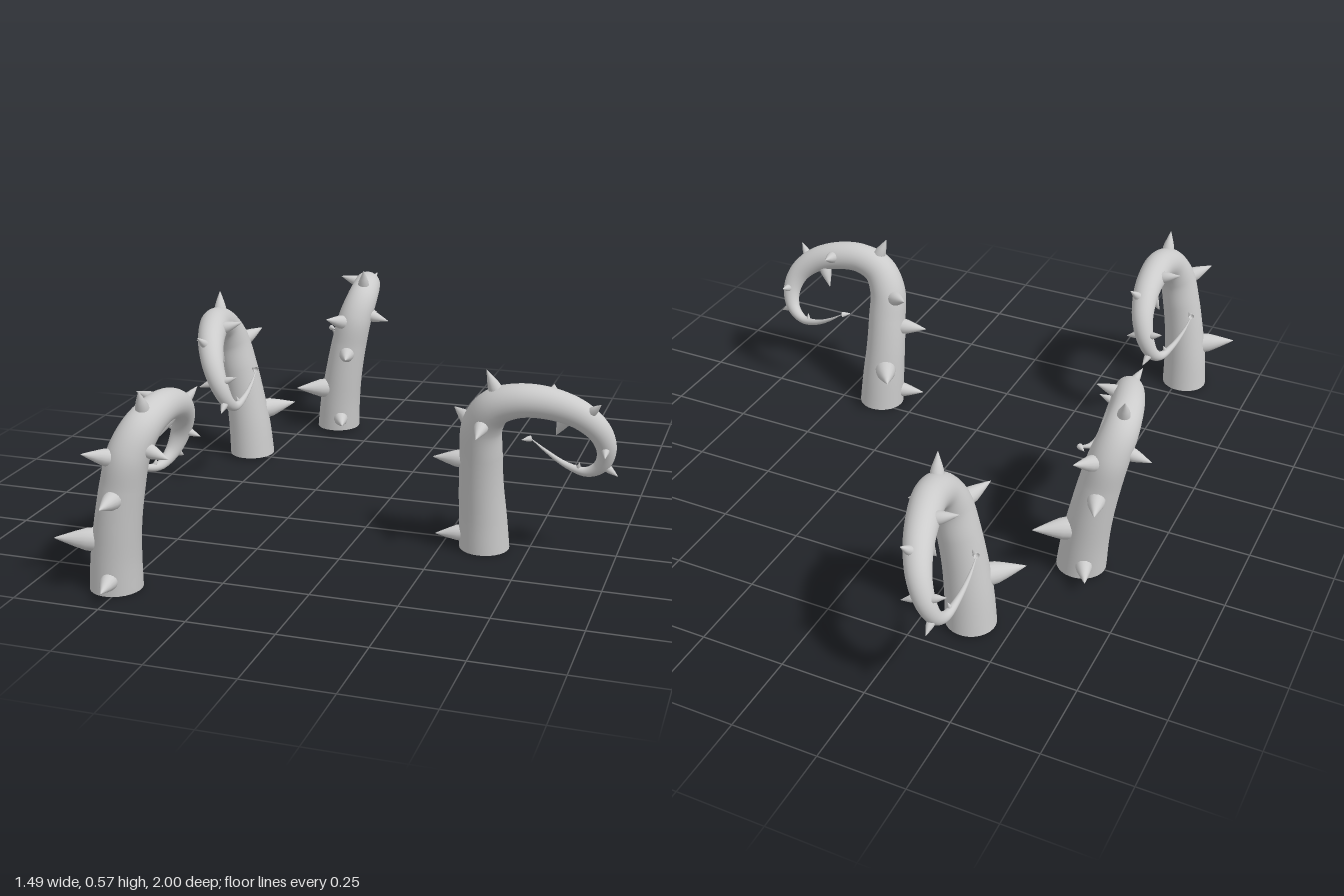
import * as THREE from 'three';

// Centre line of one tentacle: x (curl direction), y, z (sideways lean), radius
const PATH = [
  [0, 0, 0, 0.073], [-0.004, 0.1, 0.008, 0.069], [-0.007, 0.2, 0.022, 0.064],
  [-0.005, 0.3, 0.04, 0.061], [0.002, 0.39, 0.06, 0.058], [0.04, 0.45, 0.077, 0.053],
  [0.108, 0.476, 0.08, 0.048], [0.19, 0.473, 0.07, 0.045], [0.27, 0.445, 0.055, 0.04],
  [0.325, 0.395, 0.035, 0.034], [0.344, 0.335, 0.012, 0.028], [0.328, 0.28, -0.008, 0.021],
  [0.285, 0.252, -0.022, 0.014], [0.225, 0.262, -0.035, 0.009], [0.165, 0.293, -0.046, 0.005],
  [0.118, 0.325, -0.05, 0.001],
];

// Spike tips; each spike grows outward from the nearest point of the centre line
const SPIKE_TIPS = [
  [-0.137, 0.04, 0.04], [-0.142, 0.28, 0.055], [-0.09, 0.155, -0.13], [-0.1, 0.41, -0.02],
  [0.012, 0.385, 0.178], [0.018, 0.56, 0.09], [0.095, 0.325, -0.03], [0.335, 0.485, 0.08],
  [0.35, 0.33, 0.075], [0.378, 0.255, 0], [0.185, 0.5, -0.025], [0.345, 0.365, -0.045],
  [0.205, 0.37, 0.03], [0.265, 0.28, -0.02],
];

const SEGMENTS = 96, SIDES = 28;
const skin = new THREE.MeshStandardMaterial({ color: 0xcccccc, side: THREE.DoubleSide });

const curve = new THREE.CatmullRomCurve3(PATH.map(([x, y, z]) => new THREE.Vector3(x, y, z)));
const radiusCurve = new THREE.CatmullRomCurve3(PATH.map((p, i) => new THREE.Vector3(i, p[3], 0)));
const radiusAt = (u) => Math.max(0.0005, radiusCurve.getPoint(curve.getUtoTmapping(u)).y);

// Tube whose rings shrink along the length
function taperedTube() {
  const geometry = new THREE.TubeGeometry(curve, SEGMENTS, 1, SIDES, false);
  const pos = geometry.attributes.position;
  const v = new THREE.Vector3();
  for (let i = 0; i <= SEGMENTS; i++) {
    const centre = curve.getPointAt(i / SEGMENTS);
    const r = radiusAt(i / SEGMENTS);
    for (let j = 0; j <= SIDES; j++) {
      const k = i * (SIDES + 1) + j;
      v.fromBufferAttribute(pos, k).sub(centre).multiplyScalar(r).add(centre);
      if (i === 0) v.y = 0; // flat foot
      pos.setXYZ(k, v.x, v.y, v.z);
    }
  }
  return geometry;
}

// Unit spike with slightly bulging sides
const spikeGeometry = new THREE.LatheGeometry(
  [[0.3, 0], [0.27, 0.25], [0.19, 0.5], [0.1, 0.75], [0.03, 0.94], [0, 1]]
    .map(([x, y]) => new THREE.Vector2(x, y)), 16);

function makeSpike(tipArray) {
  const tip = new THREE.Vector3(...tipArray);
  let best = 0, bestDist = Infinity;
  for (let i = 0; i <= 200; i++) {
    const d = curve.getPointAt(i / 200).distanceTo(tip);
    if (d < bestDist) { bestDist = d; best = i / 200; }
  }
  const root = curve.getPointAt(best);
  const dir = tip.clone().sub(root).normalize();
  root.addScaledVector(dir, radiusAt(best) * 0.8);
  const spike = new THREE.Mesh(spikeGeometry, skin);
  spike.name = 'spike';
  spike.position.copy(root);
  spike.quaternion.setFromUnitVectors(new THREE.Vector3(0, 1, 0), dir);
  spike.scale.setScalar(root.distanceTo(tip));
  return spike;
}

export function createModel() {
  const model = new THREE.Group();
  model.name = 'spikedTentacles';
  const tubeGeometry = taperedTube();

  // Foot position and turn of each tentacle
  const places = [
    [0.372, 0, 0.288, 0],
    [-0.52, 0, 0.85, 84],
    [-0.385, 0.01, -0.625, 97],
    [-0.57, 0.01, -0.26, -82],
  ];
  for (const [x, y, z, degrees] of places) {
    const tentacle = new THREE.Group();
    tentacle.name = 'tentacle';
    const body = new THREE.Mesh(tubeGeometry, skin);
    body.name = 'tentacleBody';
    tentacle.add(body, ...SPIKE_TIPS.map(makeSpike));
    tentacle.position.set(x, y, z);
    tentacle.rotation.y = THREE.MathUtils.degToRad(degrees);
    model.add(tentacle);
  }
  return model;
}
